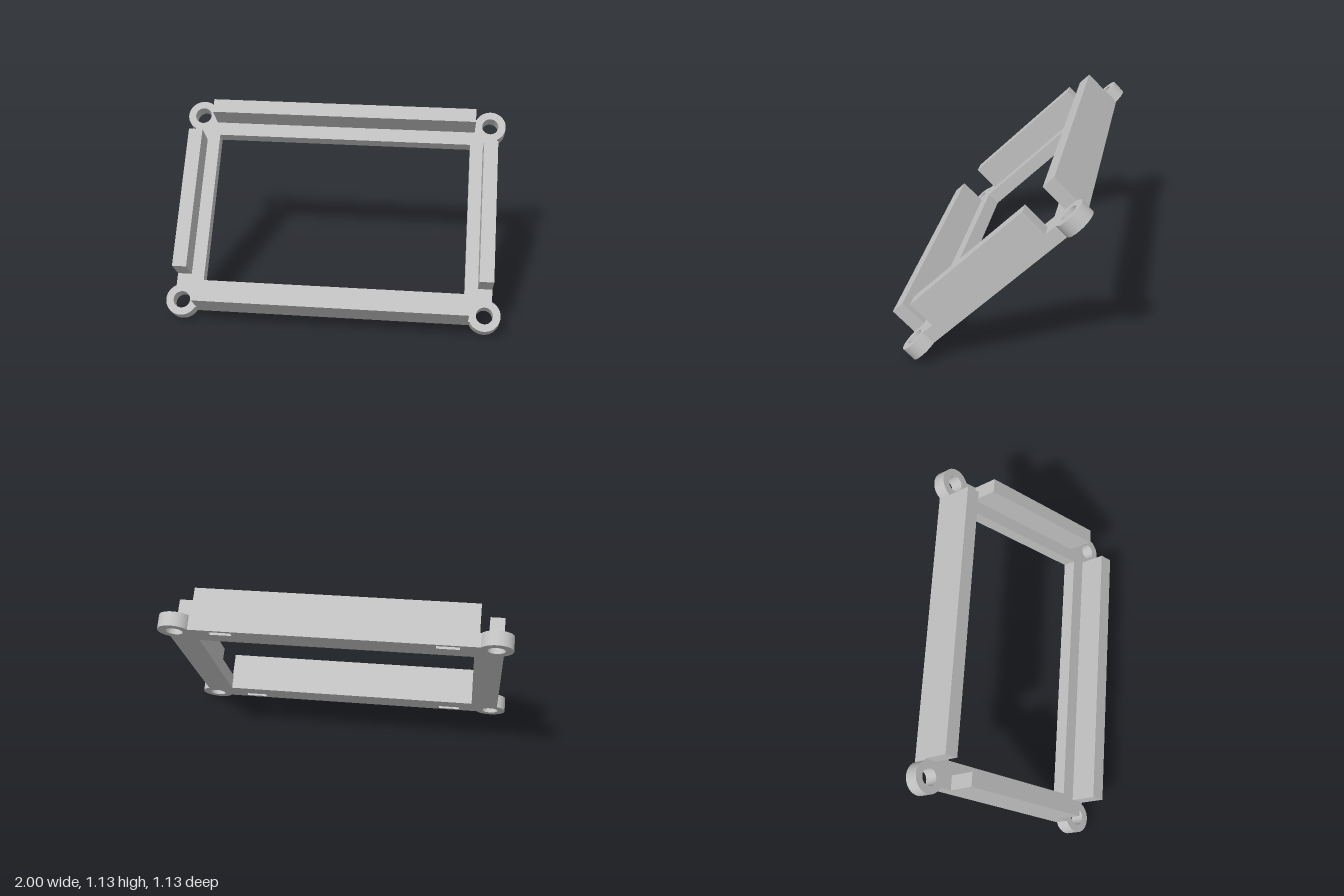
import * as THREE from 'three';
import { toCreasedNormals } from 'three/addons/utils/BufferGeometryUtils.js';

const LUG = { x: 0.905, y: 0.6, r: 0.095, hole: 0.05 };
const HALF = { x: 0.9475, y: 0.642 };   // outer half size of the frame
const OPEN = { x: 0.785, y: 0.474 };    // half size of the opening
const THICK = 0.085;                    // plate and wall thickness
const WALL = 0.17;                      // wall height above the plate

function rectPath(cx, cy, w, h) {
  const p = new THREE.Path();
  p.moveTo(cx - w / 2, cy - h / 2);
  p.lineTo(cx - w / 2, cy + h / 2);
  p.lineTo(cx + w / 2, cy + h / 2);
  p.lineTo(cx + w / 2, cy - h / 2);
  p.closePath();
  return p;
}

// Rectangular outline whose corners swell into round screw lugs
function plateShape() {
  const dx = HALF.x - LUG.x, dy = HALF.y - LUG.y;
  const a0 = -Math.acos(dx / LUG.r);
  const a1 = Math.PI - Math.asin(dy / LUG.r);
  const s = new THREE.Shape();
  s.absarc(LUG.x, LUG.y, LUG.r, a0, a1, false);
  s.absarc(-LUG.x, LUG.y, LUG.r, Math.PI - a1, Math.PI - a0, false);
  s.absarc(-LUG.x, -LUG.y, LUG.r, Math.PI + a0, Math.PI + a1, false);
  s.absarc(LUG.x, -LUG.y, LUG.r, -a1, -a0, false);
  s.closePath();

  s.holes.push(rectPath(0, 0, 2 * OPEN.x, 2 * OPEN.y));
  for (const sx of [-1, 1]) {
    for (const sy of [-1, 1]) {
      // screw hole
      const hole = new THREE.Path();
      hole.absarc(sx * LUG.x, sy * LUG.y, LUG.hole, 0, Math.PI * 2, true);
      s.holes.push(hole);
      // slot under the long wall
      s.holes.push(rectPath(sx * 0.64, sy * LUG.y, 0.13, 0.042));
    }
  }
  return s;
}

export function createModel() {
  const grey = new THREE.MeshStandardMaterial({ color: 0xc0c0c0 });
  grey.name = 'light grey';

  const model = new THREE.Group();
  model.name = 'tiltedFrame';

  // The frame is built flat, then leaned back by 45 degrees
  const frame = new THREE.Group();
  frame.name = 'frame';
  frame.rotation.x = -Math.PI / 4;
  frame.position.set(0, 0.491, -0.071);
  model.add(frame);

  const add = (name, geometry, x, y, z) => {
    const mesh = new THREE.Mesh(geometry, grey);
    mesh.name = name;
    mesh.position.set(x, y, z);
    frame.add(mesh);
  };

  // Base plate with lugs, opening, screw holes and slots
  const plate = new THREE.ExtrudeGeometry(plateShape(), {
    depth: THICK, bevelEnabled: false, curveSegments: 40,
  });
  add('basePlate', toCreasedNormals(plate, Math.PI / 6), 0, 0, 0);

  // Upright walls along the four sides
  const longWall = new THREE.BoxGeometry(1.62, THICK, WALL);
  const sideWall = new THREE.BoxGeometry(THICK, 0.878, WALL);
  const wallZ = THICK + WALL / 2;
  add('topWall', longWall, 0, 0.5995, wallZ);
  add('bottomWall', longWall, 0, -0.5995, wallZ);
  add('leftWall', sideWall, LUG.x, 0, wallZ);
  add('rightWall', sideWall, -LUG.x, 0, wallZ);

  return model;
}
